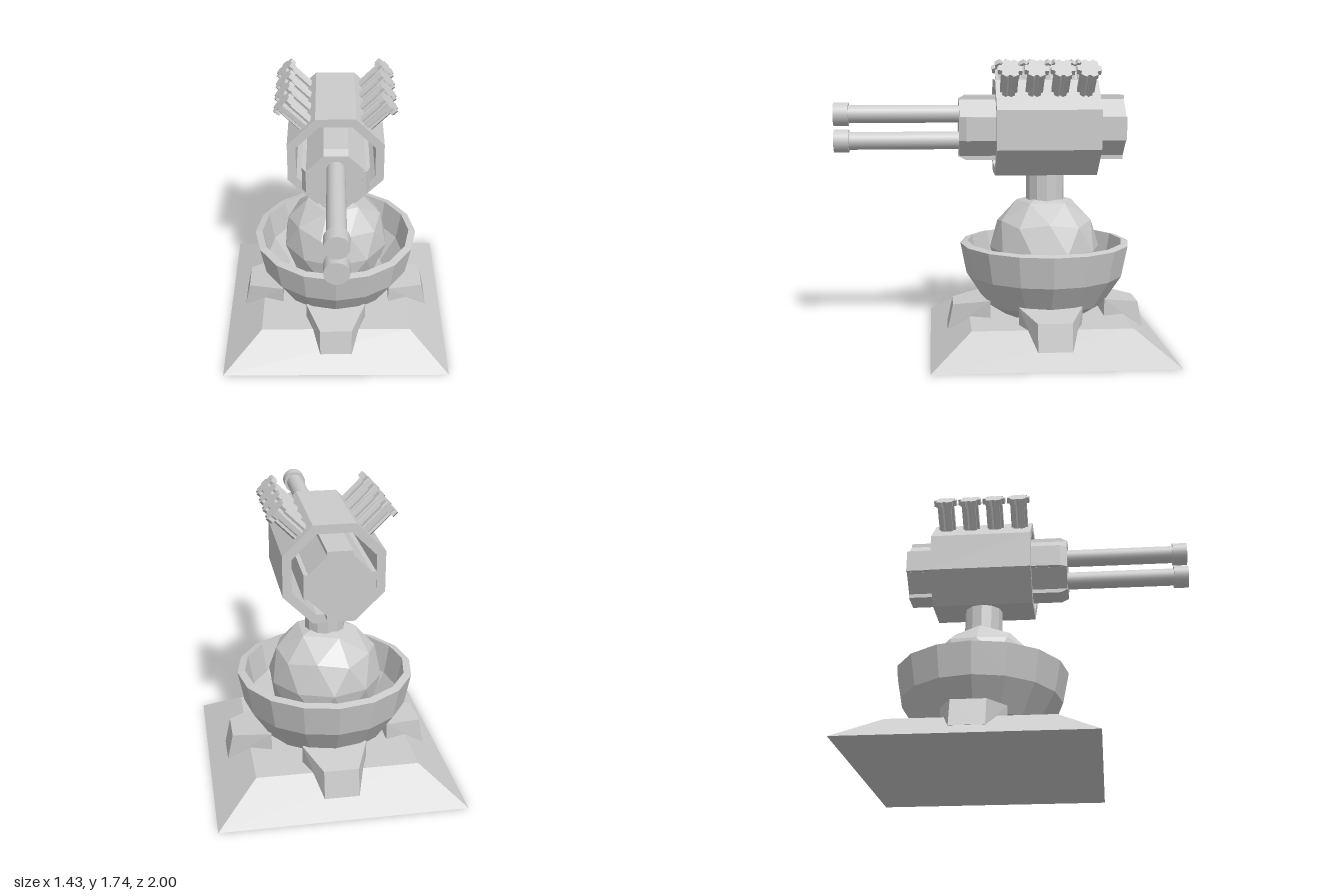
import * as THREE from 'three';
import { ConvexGeometry } from 'three/addons/geometries/ConvexGeometry.js';

const material = new THREE.MeshStandardMaterial({ color: 0xcccccc, flatShading: true });
const smooth = new THREE.MeshStandardMaterial({ color: 0xcccccc });
const BASE_Z = -0.285; // axis of the stand
const GUN_Y = 1.325; // axis of the gun

function add(parent, name, geometry, x = 0, y = 0, z = 0, mat = material) {
  const mesh = new THREE.Mesh(geometry, mat);
  mesh.name = name;
  mesh.position.set(x, y, z);
  parent.add(mesh);
  return mesh;
}

// Points of a regular octagon with flat top and sides
function octagon(apothem) {
  const r = apothem / Math.cos(Math.PI / 8);
  return Array.from({ length: 8 }, (_, i) => {
    const a = (i + 0.5) * Math.PI / 4;
    return new THREE.Vector2(r * Math.cos(a), r * Math.sin(a));
  });
}

// Straight prism along +z
const extrude = (shape, depth) => new THREE.ExtrudeGeometry(shape, { depth, bevelEnabled: false });

// Convex block from [halfWidth, y, z] pairs mirrored in x
function block(sections) {
  const points = [];
  for (const [w, y, z] of sections) {
    points.push(new THREE.Vector3(w, y, z), new THREE.Vector3(-w, y, z));
  }
  return new ConvexGeometry(points);
}

// Toothed outline for the side launchers
function toothed(radius, inner, teeth) {
  const points = [];
  for (let i = 0; i < teeth; i++) {
    [[0.04, inner], [0.2, radius], [0.7, radius], [0.86, inner]].forEach(([t, r]) => {
      const a = (i + t) / teeth * Math.PI * 2;
      points.push(new THREE.Vector2(r * Math.cos(a), r * Math.sin(a)));
    });
  }
  return new THREE.Shape(points);
}

function createStand() {
  const stand = new THREE.Group();
  stand.name = 'stand';
  stand.position.z = BASE_Z;

  // Sloped square base
  const base = new THREE.CylinderGeometry(0.475 * Math.SQRT2, 0.715 * Math.SQRT2, 0.175, 4);
  base.rotateY(Math.PI / 4);
  add(stand, 'base', base, 0, 0.0875);

  // Four flared feet
  const foot = block([
    [0.1, 0.24, 0.575], [0.1, 0.08, 0.608],
    [0.19, 0.28, 0.35], [0.19, 0.08, 0.35],
  ]);
  for (let i = 0; i < 4; i++) add(stand, 'foot', foot).rotation.y = i * Math.PI / 2;

  // Open bowl: outer wall, rim, inner wall
  const profile = [
    [0, 0.09], [0.2, 0.13], [0.375, 0.245], [0.488, 0.42], [0.525, 0.61],
    [0.48, 0.62], [0.445, 0.44], [0.335, 0.28], [0.18, 0.19], [0, 0.16],
  ].map(([r, y]) => new THREE.Vector2(r, y));
  add(stand, 'bowl', new THREE.LatheGeometry(profile, 16));

  // Faceted ball with a vertex on top
  const ball = new THREE.IcosahedronGeometry(0.34, 1);
  ball.rotateZ(Math.atan(2 / (1 + Math.sqrt(5))));
  add(stand, 'ball', ball, 0, 0.58);

  add(stand, 'neck', new THREE.CylinderGeometry(0.117, 0.117, 0.23, 12), 0, 0.94);
  return stand;
}

function createGun() {
  const gun = new THREE.Group();
  gun.name = 'gun';
  gun.position.y = GUN_Y;

  // Hollow octagonal housing
  const shell = new THREE.Shape(octagon(0.286));
  shell.holes.push(new THREE.Path(octagon(0.235)));
  add(gun, 'housing', extrude(shell, 0.62), 0, 0, -0.59);

  // Core with a raised plate on each main side, tapered at the front
  add(gun, 'core', extrude(new THREE.Shape(octagon(0.17)), 1), 0, 0, -0.755);
  const plate = block([
    [0.07, 0.195, -0.755], [0.07, 0.195, 0.205],
    [0.07, 0.15, -0.755], [0.07, 0.15, 0.248], [0.07, 0.172, 0.248],
  ]);
  for (let i = 0; i < 4; i++) add(gun, 'corePlate', plate).rotation.z = i * Math.PI / 2;

  // Twin barrels with muzzles
  const barrel = new THREE.CylinderGeometry(0.054, 0.054, 0.72, 24).rotateX(Math.PI / 2);
  const muzzle = new THREE.CylinderGeometry(0.07, 0.07, 0.09, 24).rotateX(Math.PI / 2);
  for (const y of [0.081, -0.081]) {
    add(gun, 'barrel', barrel, 0, y, 0.58, smooth);
    add(gun, 'muzzle', muzzle, 0, y, 0.955, smooth);
  }

  // Rows of toothed launchers on the upper slopes
  const stem = extrude(toothed(0.053, 0.041, 6), 0.18).rotateX(-Math.PI / 2);
  const head = extrude(toothed(0.072, 0.055, 6), 0.035).rotateX(-Math.PI / 2);
  for (const side of [1, -1]) {
    const row = new THREE.Group();
    row.name = side > 0 ? 'leftLaunchers' : 'rightLaunchers';
    row.rotation.z = -side * Math.PI / 4;
    for (let i = 0; i < 4; i++) {
      const z = -0.045 - i * 0.153;
      add(row, 'launcherStem', stem, -side * 0.034, 0.27, z);
      add(row, 'launcherHead', head, -side * 0.034, 0.441, z);
    }
    gun.add(row);
  }
  return gun;
}

export function createModel() {
  const model = new THREE.Group();
  model.name = 'turret';
  model.add(createStand(), createGun());
  return model;
}
